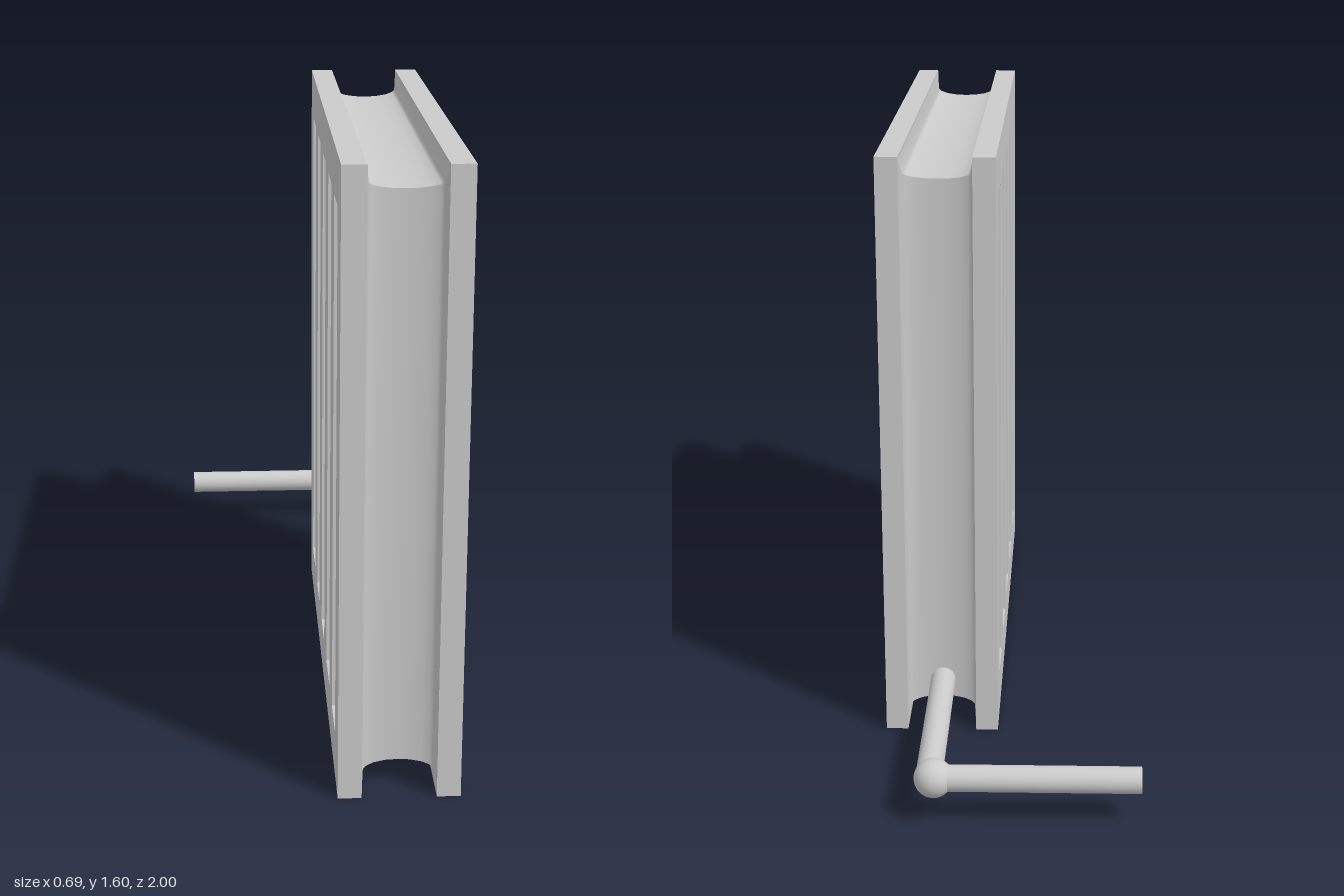
import * as THREE from 'three';

const CX = 0.19;                                  // middle plane of the radiator
const Z0 = -0.467, Z1 = 1, H = 1.6;               // panel extents
const HALF = 0.154, THICK = 0.06, DEPTH = 0.016;  // half width, panel thickness, slot depth
const PIPE_Y = 0.12;

const material = new THREE.MeshStandardMaterial({ color: 0xcccccc });

function addMesh(parent, name, geometry) {
  const mesh = new THREE.Mesh(geometry, material);
  mesh.name = name;
  parent.add(mesh);
  return mesh;
}

// Rectangle with slightly rounded corners, used for the slots
function slotPath(x0, y0, x1, y1, r) {
  const p = new THREE.Path();
  p.absarc(x0 + r, y0 + r, r, Math.PI, Math.PI * 1.5);
  p.absarc(x1 - r, y0 + r, r, Math.PI * 1.5, Math.PI * 2);
  p.absarc(x1 - r, y1 - r, r, 0, Math.PI / 2);
  p.absarc(x0 + r, y1 - r, r, Math.PI / 2, Math.PI);
  p.closePath();
  return p;
}

// Panel: slotted face plate over a solid backing plate
function makePanel(side) {
  const panel = new THREE.Group();
  panel.name = side > 0 ? 'leftPanel' : 'rightPanel';
  const outer = CX + side * HALF;

  const shape = new THREE.Shape();
  shape.moveTo(Z0, 0).lineTo(Z1, 0).lineTo(Z1, H).lineTo(Z0, H).closePath();
  for (let i = 0; i < 5; i++) {
    const z = 0.802 - i * 0.2675;
    shape.holes.push(slotPath(z - 0.07, 0.116, z + 0.07, 1.478, 0.007));
  }
  const face = new THREE.ExtrudeGeometry(shape, { depth: DEPTH, bevelEnabled: false, curveSegments: 3 });
  face.rotateY(-Math.PI / 2).translate(side > 0 ? outer : outer + DEPTH, 0, 0);
  addMesh(panel, 'slottedFace', face);

  const backing = new THREE.BoxGeometry(THICK - DEPTH, H, Z1 - Z0);
  backing.translate(outer - side * (THICK + DEPTH) / 2, H / 2, (Z0 + Z1) / 2);
  addMesh(panel, 'backingPlate', backing);
  return panel;
}

// Core: rectangular sections across x, inset by a concave curve, one strip per side
function makeCore() {
  const half = [[-0.095, 0], [-0.088, 0.052], [-0.08, 0.058], [-0.06, 0.064], [-0.03, 0.068]];
  const sections = [...half, [0, 0.069], ...half.map(([x, d]) => [-x, d]).reverse()];
  const corners = d => [[Z1 - d, d], [Z0 + d, d], [Z0 + d, H - d], [Z1 - d, H - d]];
  const core = new THREE.Group();
  core.name = 'core';
  ['bottom', 'back', 'top', 'front'].forEach((name, k) => {
    const pos = [], index = [];
    sections.forEach(([x, d], i) => {
      const c = corners(d);
      for (const [z, y] of [c[k], c[(k + 1) % 4]]) pos.push(CX + x, y, z);
      if (i > 0) {
        const a = 2 * i - 2;
        index.push(a, a + 1, a + 2, a + 1, a + 3, a + 2);
      }
    });
    const g = new THREE.BufferGeometry();
    g.setAttribute('position', new THREE.Float32BufferAttribute(pos, 3));
    g.setIndex(index);
    g.computeVertexNormals();
    addMesh(core, name + 'Core', g);
  });
  return core;
}

// Straight round pipe between two points
function addPipe(parent, name, from, to) {
  const dir = to.clone().sub(from);
  const mesh = addMesh(parent, name, new THREE.CylinderGeometry(0.034, 0.034, dir.length(), 32));
  mesh.position.copy(from).add(to).multiplyScalar(0.5);
  mesh.quaternion.setFromUnitVectors(new THREE.Vector3(0, 1, 0), dir.normalize());
}

export function createModel() {
  const model = new THREE.Group();
  model.name = 'radiator';
  model.add(makePanel(1), makePanel(-1), makeCore());

  // Supply pipe with a ball elbow
  const pipe = new THREE.Group();
  pipe.name = 'supplyPipe';
  const elbow = new THREE.Vector3(0.178, PIPE_Y, -0.951);
  addPipe(pipe, 'inletPipe', new THREE.Vector3(CX, PIPE_Y, -0.35), new THREE.Vector3(CX, PIPE_Y, -0.951));
  addPipe(pipe, 'sidePipe', elbow, new THREE.Vector3(-0.345, PIPE_Y, -0.947));
  addMesh(pipe, 'elbowBall', new THREE.SphereGeometry(0.05, 32, 20)).position.copy(elbow);
  model.add(pipe);
  return model;
}
